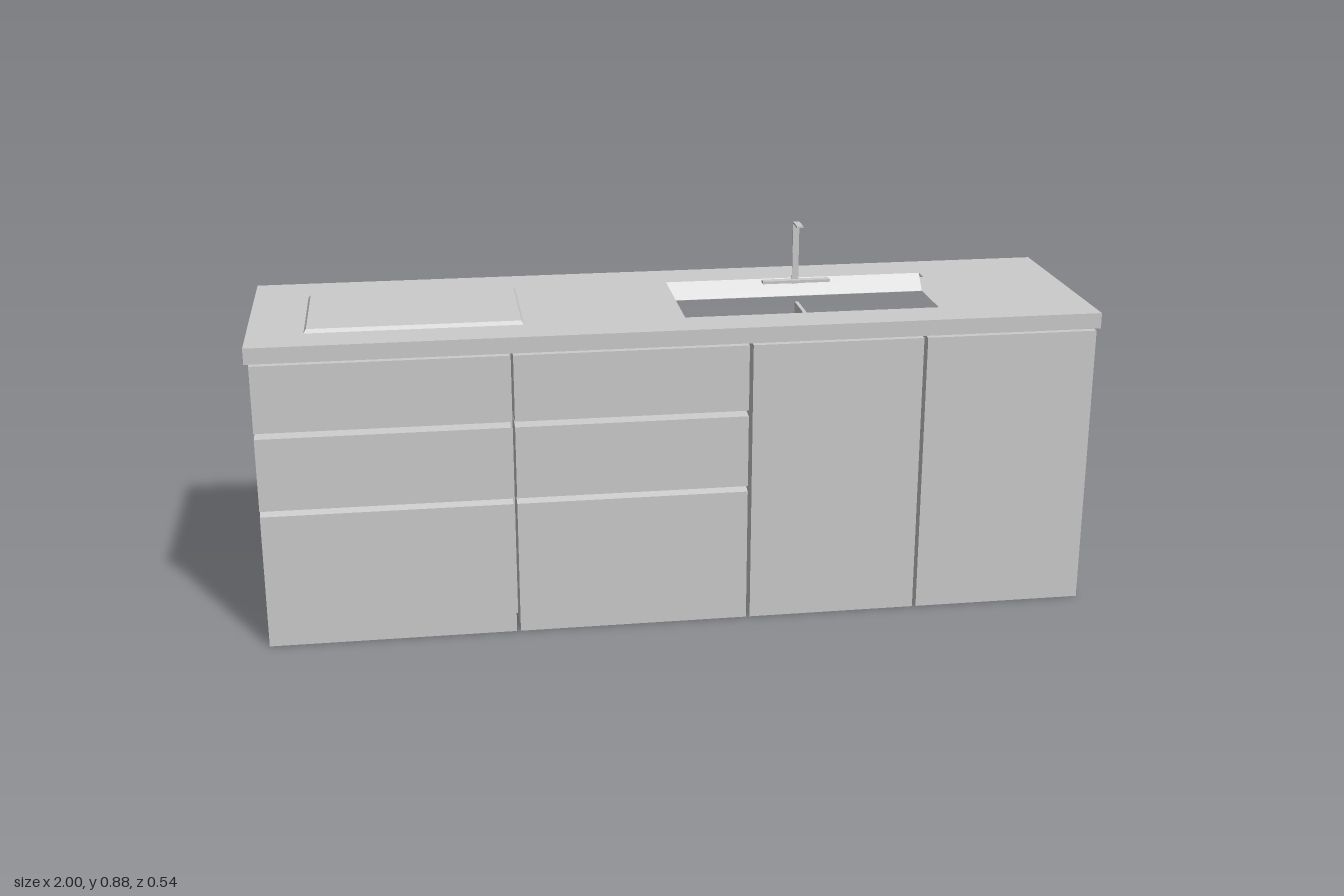
import * as THREE from 'three';

const material = new THREE.MeshStandardMaterial({ color: 0xcccccc });

function addMesh(parent, name, geometry) {
  const mesh = new THREE.Mesh(geometry, material);
  mesh.name = name;
  parent.add(mesh);
  return mesh;
}

// Box given by its limits on each axis
function box(parent, name, x0, x1, y0, y1, z0, z1) {
  const g = new THREE.BoxGeometry(x1 - x0, y1 - y0, z1 - z0);
  g.translate((x0 + x1) / 2, (y0 + y1) / 2, (z0 + z1) / 2);
  return addMesh(parent, name, g);
}

const rectPoints = ([x0, x1, z0, z1]) =>
  [[x0, -z0], [x1, -z0], [x1, -z1], [x0, -z1]].map(p => new THREE.Vector2(...p));

// Upright slab with rectangular holes; rectangles are [x0, x1, z0, z1]
function slab(parent, name, outer, holes, y0, y1) {
  const shape = new THREE.Shape(rectPoints(outer));
  holes.forEach(h => shape.holes.push(new THREE.Path(rectPoints(h))));
  const g = new THREE.ExtrudeGeometry(shape, { depth: y1 - y0, bevelEnabled: false });
  g.rotateX(-Math.PI / 2).translate(0, y0, 0);
  return addMesh(parent, name, g);
}

// Side profile of [z, y] points, run along x
function profile(parent, name, points, x0, x1) {
  const shape = new THREE.Shape(points.map(([z, y]) => new THREE.Vector2(-z, y)));
  const g = new THREE.ExtrudeGeometry(shape, { depth: x1 - x0, bevelEnabled: false });
  g.rotateY(Math.PI / 2).translate(x0, 0, 0);
  return addMesh(parent, name, g);
}

export function createModel() {
  const model = new THREE.Group();
  const D = 0.27, W = 0.99, H = 0.692, TOP = 0.735, UNDER = 0.697;
  const seam = 0.17; // where the fronts meet the carcass

  // Cabinet body, open inside for the sink
  const cabinet = new THREE.Group();
  cabinet.name = 'cabinet';
  model.add(cabinet);
  slab(cabinet, 'carcass', [-W, W, -D, seam], [[0.005, 0.68, -0.135, 0.168]], 0.0, H);
  box(cabinet, 'carcassFloor', 0.005, 0.68, 0, 0.02, -0.135, 0.168);

  // Drawer fronts with finger grooves, in two columns
  const drawerProfile = [
    [seam, 0], [D, 0], [D, 0.328], [0.235, 0.336], [D, 0.342],
    [D, 0.518], [0.195, 0.524], [D, 0.532], [D, H], [seam, H],
  ];
  [[-W, -0.407], [-0.398, 0.151]].forEach(([x0, x1]) =>
    profile(cabinet, 'drawerFronts', drawerProfile, x0, x1));

  // Plain doors
  [[0.160, 0.568], [0.577, W]].forEach(([x0, x1]) =>
    box(cabinet, 'door', x0, x1, 0, H, seam, D));

  // Worktop with sink opening and a sloped back edge to the opening
  const sinkX0 = 0.015, sinkX1 = 0.67, sinkBack = -0.12, sinkFront = 0.165;
  slab(model, 'worktop', [-1, 1, -D, D], [[sinkX0, sinkX1, -0.155, sinkFront]], UNDER, TOP);
  profile(model, 'sinkBackSlope',
    [[-0.155, TOP], [-0.155, UNDER], [sinkBack, UNDER]], sinkX0, sinkX1);

  // Double sink: walls, floor, low divider and a thin rim in the shadow gap
  const sink = new THREE.Group();
  sink.name = 'sink';
  model.add(sink);
  const sinkOuter = [sinkX0 - 0.008, sinkX1 + 0.008, sinkBack - 0.008, sinkFront + 0.002];
  const sinkHole = [sinkX0, sinkX1, sinkBack, sinkFront];
  slab(sink, 'basinWalls', sinkOuter, [sinkHole], 0.585, UNDER);
  box(sink, 'basinFloor', sinkX0, sinkX1, 0.585, 0.59, sinkBack, sinkFront);
  box(sink, 'basinDivider', 0.339, 0.348, 0.59, 0.682, sinkBack, sinkFront);

  // Cooktop plate with bevelled edges
  const hobWidth = 0.505, hobDepth = 0.307;
  const hob = new THREE.BoxGeometry(hobWidth, 0.009, hobDepth);
  const pos = hob.attributes.position;
  for (let i = 0; i < pos.count; i++) {
    if (pos.getY(i) > 0) {
      pos.setX(i, pos.getX(i) - Math.sign(pos.getX(i)) * 0.006);
      pos.setZ(i, pos.getZ(i) - Math.sign(pos.getZ(i)) * 0.005);
    }
  }
  hob.computeVertexNormals();
  addMesh(model, 'cooktop', hob).position.set(-0.617, TOP + 0.0045, 0.017);

  // Tap: flat stem, spout and base plate
  const tap = new THREE.Group();
  tap.name = 'tap';
  model.add(tap);
  box(tap, 'tapStem', 0.336, 0.352, 0.70, 0.882, -0.147, -0.143);
  box(tap, 'tapSpout', 0.336, 0.352, 0.877, 0.882, -0.143, -0.096);
  box(tap, 'tapBase', 0.259, 0.431, 0.727, 0.734, -0.150, -0.130);

  return model;
}
